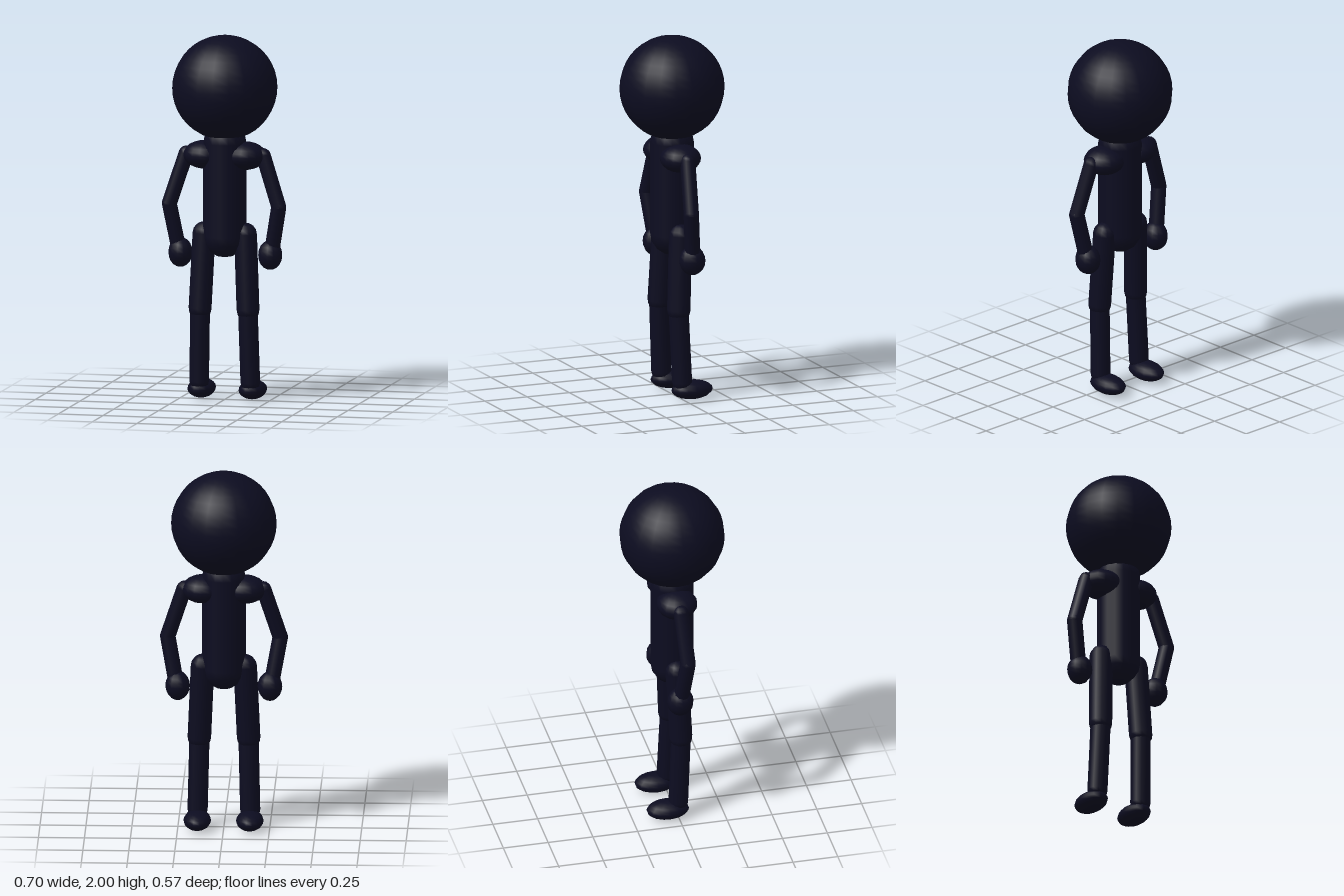
import * as THREE from 'three';

const V = (x, y, z) => new THREE.Vector3(x, y, z);

export function createModel() {
  const model = new THREE.Group();
  model.name = 'mannequin';
  const navy = new THREE.MeshStandardMaterial({ color: 0x0c0c20 });
  navy.name = 'darkNavy';

  function add(name, geometry, parent = model) {
    const mesh = new THREE.Mesh(geometry, navy);
    mesh.name = name;
    parent.add(mesh);
    return mesh;
  }

  // Rounded limb whose cap centres sit at a and b
  function limb(name, a, b, radius, sides, parent) {
    const dir = b.clone().sub(a);
    const mesh = add(name, new THREE.CapsuleGeometry(radius, dir.length(), 4, sides), parent);
    mesh.position.copy(a).lerp(b, 0.5);
    mesh.quaternion.setFromUnitVectors(V(0, -1, 0), dir.normalize());
    return mesh;
  }

  // Stretched ball with a separate radius on each axis
  function ball(name, centre, radii, sides, rings, parent) {
    const geometry = new THREE.SphereGeometry(1, sides, rings);
    geometry.scale(radii.x, radii.y, radii.z);
    const mesh = add(name, geometry, parent);
    mesh.position.copy(centre);
    return mesh;
  }

  // Head and torso
  ball('head', V(0, 1.714, 0), V(0.287, 0.286, 0.287), 20, 20);
  limb('torso', V(0, 1.41, 0), V(0, 0.9, 0), 0.119, 16);

  // Paired parts; the toes point to -z
  for (const [side, s] of [['left', 1], ['right', -1]]) {
    const group = new THREE.Group();
    group.name = side + 'Limbs';
    model.add(group);

    // Shoulder and arm
    const elbow = V(s * 0.306, 1.07, 0.018);
    ball('shoulder', V(s * 0.115, 1.343, 0), V(0.115, 0.077, 0.112), 16, 12, group);
    limb('upperArm', V(s * 0.216, 1.345, 0), elbow, 0.042, 10, group);
    limb('forearm', elbow, V(s * 0.264, 0.84, -0.008), 0.042, 10, group);
    ball('hand', V(s * 0.251, 0.8, -0.012), V(0.067, 0.081, 0.073), 12, 10, group);

    // Leg and foot
    limb('thigh', V(s * 0.116, 0.91, 0), V(s * 0.134, 0.5, 0.018), 0.064, 12, group);
    limb('shin', V(s * 0.134, 0.48, 0.018), V(s * 0.143, 0.1, 0.002), 0.055, 12, group);
    ball('foot', V(s * 0.143, 0.0525, -0.057), V(0.075, 0.0525, 0.118), 14, 10, group);
  }
  return model;
}
